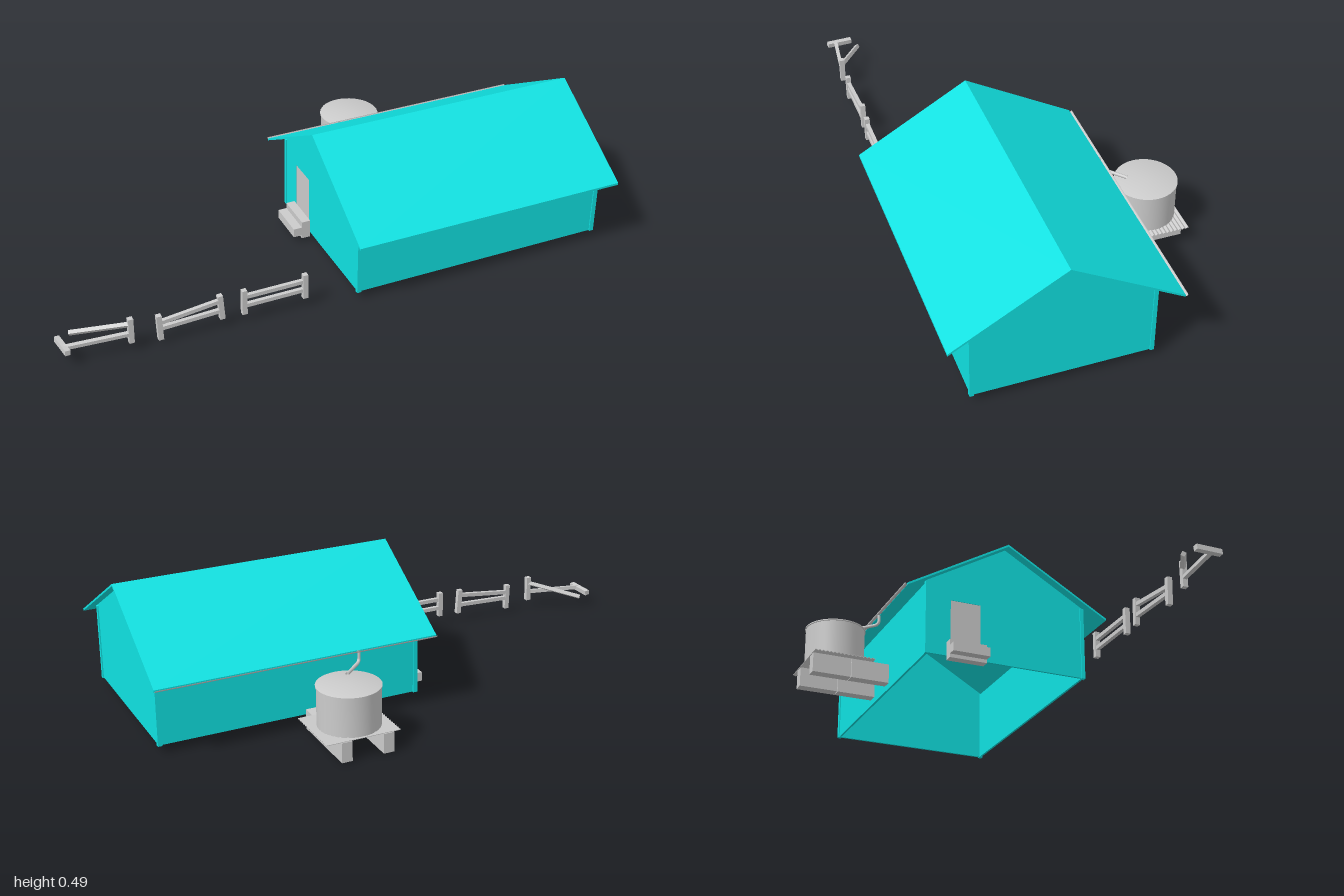
import * as THREE from 'three';
import { toCreasedNormals } from 'three/addons/utils/BufferGeometryUtils.js';

const grey = new THREE.MeshStandardMaterial({ color: 0xcccccc });
const greyThin = new THREE.MeshStandardMaterial({ color: 0xcccccc, side: THREE.DoubleSide });
const cyan = new THREE.MeshStandardMaterial({ color: 0x10e2e2 });

function add(parent, name, geometry, material) {
  const mesh = new THREE.Mesh(geometry, material);
  mesh.name = name;
  parent.add(mesh);
  return mesh;
}

function group(parent, name) {
  const g = new THREE.Group();
  g.name = name;
  parent.add(g);
  return g;
}

// Box given by its lowest and highest corners
function block(parent, name, [x0, y0, z0], [x1, y1, z1], material) {
  const geo = new THREE.BoxGeometry(x1 - x0, y1 - y0, z1 - z0);
  geo.translate((x0 + x1) / 2, (y0 + y1) / 2, (z0 + z1) / 2);
  return add(parent, name, geo, material);
}

// Square bar running from point a to point b
function bar(parent, name, a, b, size) {
  const from = new THREE.Vector3(...a), to = new THREE.Vector3(...b);
  const mesh = add(parent, name, new THREE.BoxGeometry(size, from.distanceTo(to), size), grey);
  mesh.position.copy(from).add(to).multiplyScalar(0.5);
  mesh.quaternion.setFromUnitVectors(new THREE.Vector3(0, 1, 0), to.sub(from).normalize());
}

// Outline of [z, y] points extruded along x from x0 to x1
function prism(points, x0, x1) {
  const shape = new THREE.Shape(points.map(([z, y]) => new THREE.Vector2(z, y)));
  const geo = new THREE.ExtrudeGeometry(shape, { depth: x1 - x0, bevelEnabled: false });
  return geo.rotateY(-Math.PI / 2).translate(x1, 0, 0);
}

const RIDGE = 0.122, SLOPE = 0.58;
const LEFT = 0.965, RIGHT = 0.028, FRONT = 0.43, BACK = -0.182, FLOOR = 0.03, WALL = 0.008;
const underRoof = z => 0.484 - SLOPE * Math.abs(z - RIDGE);

function buildHouse(root) {
  const house = group(root, 'house');

  // Gable walls; the right one is notched for the door
  const top = [[FRONT, underRoof(FRONT)], [RIDGE, underRoof(RIDGE)], [BACK, underRoof(BACK)]];
  const d0 = -0.09, d1 = 0.025, doorTop = 0.245;
  add(house, 'leftGableWall', prism([[BACK, FLOOR], [FRONT, FLOOR], ...top], LEFT - WALL, LEFT), cyan);
  add(house, 'rightGableWall', prism([[BACK, FLOOR], [d0, FLOOR], [d0, doorTop], [d1, doorTop],
    [d1, FLOOR], [FRONT, FLOOR], ...top], RIGHT, RIGHT + WALL), cyan);
  block(house, 'door', [RIGHT + 0.002, FLOOR, d0], [RIGHT + 0.006, doorTop, d1], grey);

  // Long walls
  block(house, 'frontWall', [RIGHT, FLOOR, FRONT - WALL], [LEFT, 0.302, FRONT], cyan);
  block(house, 'backWall', [RIGHT, FLOOR, BACK], [LEFT, 0.302, BACK + WALL], cyan);

  // Corner boards
  for (const x of [RIGHT, LEFT]) {
    for (const z of [FRONT, BACK]) {
      const cx = x === LEFT ? x - 0.004 : x + 0.004, cz = z === FRONT ? z - 0.003 : z + 0.003;
      block(house, 'cornerBoard', [cx - 0.008, FLOOR - 0.002, cz - 0.007],
        [cx + 0.008, 0.304, cz + 0.007], cyan);
    }
  }

  // Gable roof with a thin sheet thickness
  const half = 0.388, drop = half * SLOPE;
  add(house, 'roof', prism([
    [RIDGE + half, 0.492 - drop], [RIDGE, 0.492], [RIDGE - half, 0.492 - drop],
    [RIDGE - half, 0.484 - drop], [RIDGE, 0.484], [RIDGE + half, 0.484 - drop],
  ].reverse(), -0.006, 0.996), cyan);

  // Half-round gutter along the back eave
  const gutter = new THREE.CylinderGeometry(0.007, 0.007, 1.0, 10, 1, true, Math.PI, Math.PI);
  add(house, 'gutter', gutter.rotateZ(Math.PI / 2).translate(0.495, 0.267, -0.268), greyThin);

  // Doorsteps
  block(house, 'upperStep', [-0.004, 0.012, -0.105], [0.028, 0.08, 0.035], grey);
  block(house, 'lowerStep', [-0.036, 0.025, -0.105], [-0.004, 0.058, 0.035], grey);
}

function buildTank(root) {
  const tank = group(root, 'waterTank');
  const cx = 0.385, cz = -0.398;

  // Two rows of support blocks
  for (const x of [0.295, 0.445]) {
    block(tank, 'supportBlock', [x - 0.019, 0, -0.367], [x + 0.019, 0.071, -0.226], grey);
    block(tank, 'supportBlock', [x - 0.019, 0, -0.51], [x + 0.019, 0.071, -0.369], grey);
  }

  // Corrugated platform sheet
  const waves = 16, steps = waves * 4, upper = [], lower = [];
  for (let i = 0; i <= steps; i++) {
    const z = -0.511 + 0.226 * i / steps;
    const y = 0.0745 + 0.0025 * Math.sin(i * Math.PI / 2);
    lower.push([z, y - 0.001]);
    upper.unshift([z, y + 0.001]);
  }
  add(tank, 'platform', prism([...lower, ...upper], 0.254, 0.518), grey);

  // Round tank with a rolled rim and a flat lid
  const profile = [[0, 0.076], [0.107, 0.076], [0.107, 0.212], [0.11, 0.213], [0.11, 0.217],
    [0.107, 0.218], [0, 0.218]].map(p => new THREE.Vector2(...p));
  const body = toCreasedNormals(new THREE.LatheGeometry(profile, 40), 0.6);
  add(tank, 'tankBody', body.translate(cx, 0, cz), grey);

  // Downpipe from the gutter to the lid
  const path = new THREE.CurvePath();
  const v = (x, y, z) => new THREE.Vector3(x, y, z);
  path.add(new THREE.LineCurve3(v(0.285, 0.268, -0.266), v(0.285, 0.24, -0.266)));
  path.add(new THREE.QuadraticBezierCurve3(v(0.285, 0.24, -0.266), v(0.285, 0.224, -0.266), v(0.3, 0.224, -0.28)));
  path.add(new THREE.LineCurve3(v(0.3, 0.224, -0.28), v(0.362, 0.224, -0.337)));
  add(tank, 'downpipe', new THREE.TubeGeometry(path, 24, 0.006, 8), greyThin);
}

function buildFence(root) {
  // Each panel: posts and rails as [start, end]
  const panels = [
    { posts: [[[-0.373, 0.035, 0.39], [-0.373, 0.13, 0.39]], [[-0.152, 0.035, 0.39], [-0.152, 0.13, 0.39]]],
      rails: [[[-0.373, 0.103, 0.39], [-0.152, 0.103, 0.39]], [[-0.373, 0.068, 0.39], [-0.152, 0.068, 0.39]]] },
    { posts: [[[-0.667, 0.017, 0.384], [-0.671, 0.113, 0.384]], [[-0.45, 0.035, 0.384], [-0.457, 0.13, 0.384]]],
      rails: [[[-0.672, 0.083, 0.384], [-0.453, 0.108, 0.384]], [[-0.67, 0.06, 0.384], [-0.453, 0.068, 0.384]]] },
    // Collapsed panel with one post lying down
    { posts: [[[-0.991, 0.055, 0.292], [-0.981, 0.06, 0.388]], [[-0.767, 0.035, 0.383], [-0.767, 0.13, 0.383]]],
      rails: [[[-0.945, 0.052, 0.277], [-0.767, 0.106, 0.383]], [[-0.985, 0.06, 0.355], [-0.767, 0.069, 0.383]]] },
  ];
  for (const { posts, rails } of panels) {
    const panel = group(root, 'fencePanel');
    for (const [a, b] of posts) bar(panel, 'fencePost', a, b, 0.018);
    for (const [a, b] of rails) bar(panel, 'fenceRail', a, b, 0.014);
  }
}

export function createModel() {
  const root = new THREE.Group();
  root.name = 'farmhouse';
  buildHouse(root);
  buildTank(root);
  buildFence(root);
  return root;
}
